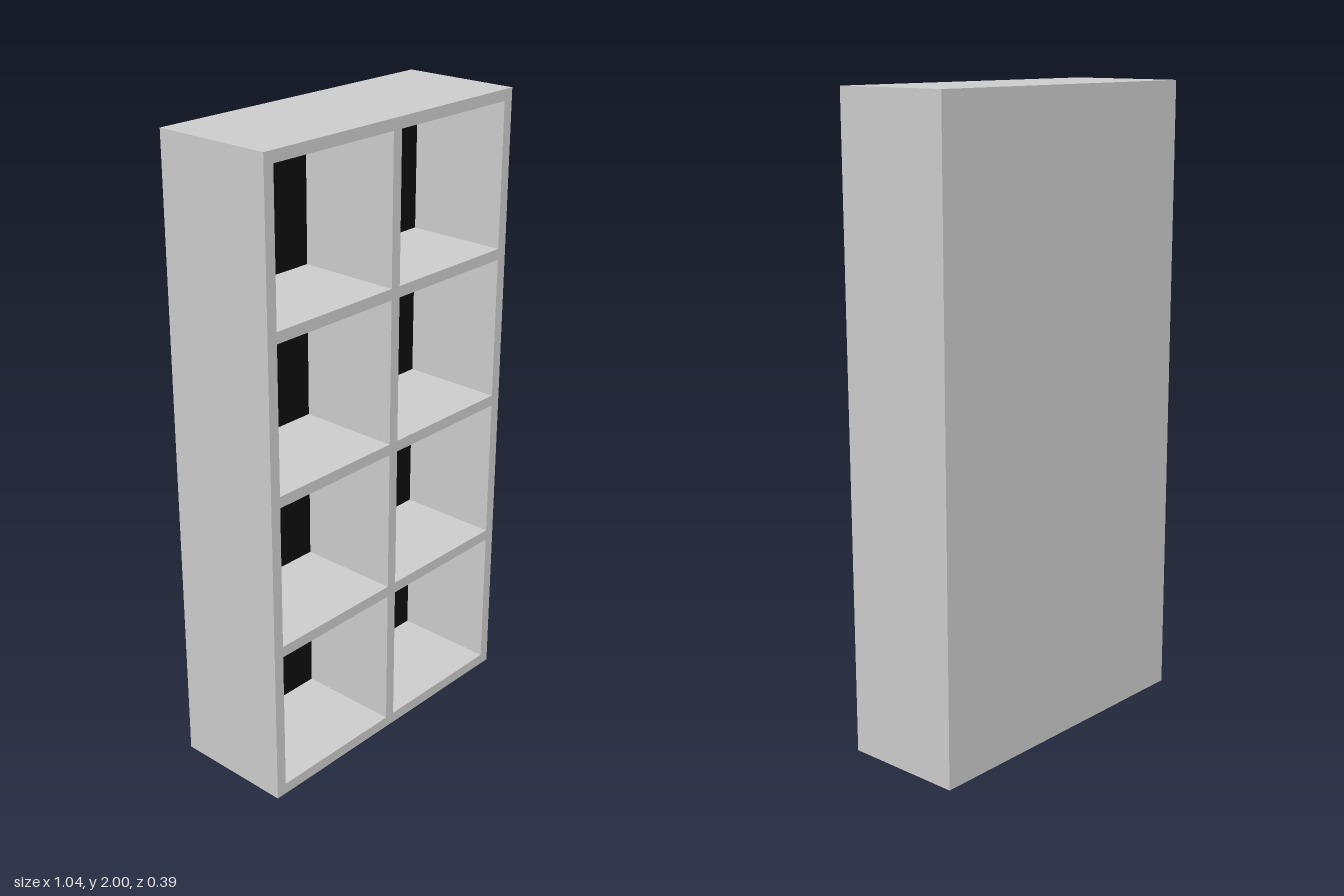
import * as THREE from 'three';

const W = 1.04, H = 2, D = 0.39; // overall size
const T = 0.035;                 // board thickness
const BACK = 0.055;              // back panel thickness
const COLS = 2, ROWS = 4;

const cellW = (W - T * (COLS + 1)) / COLS;
const cellH = (H - T * (ROWS + 1)) / ROWS;

function rectangle(target, x, y, w, h) {
  target.moveTo(x, y);
  target.lineTo(x + w, y);
  target.lineTo(x + w, y + h);
  target.lineTo(x, y + h);
  target.closePath();
  return target;
}

export function createModel() {
  const group = new THREE.Group();
  group.name = 'bookcase';
  const grey = new THREE.MeshStandardMaterial({ color: 0xcccccc });
  const dark = new THREE.MeshStandardMaterial({ color: 0x0d0d0d });

  function add(name, geometry, material, x, y, z) {
    const mesh = new THREE.Mesh(geometry, material);
    mesh.name = name;
    mesh.position.set(x, y, z);
    group.add(mesh);
  }

  // Outer case, shelves and centre divider as one board with eight openings
  const outline = rectangle(new THREE.Shape(), -W / 2, 0, W, H);
  const lining = new THREE.PlaneGeometry(cellW, cellH);
  const backZ = -D / 2 + BACK;

  for (let c = 0; c < COLS; c++) {
    for (let r = 0; r < ROWS; r++) {
      const x = -W / 2 + T + c * (cellW + T);
      const y = T + r * (cellH + T);
      outline.holes.push(rectangle(new THREE.Path(), x, y, cellW, cellH));
      // Dark back of each compartment
      add('compartmentBack', lining, dark, x + cellW / 2, y + cellH / 2, backZ + 0.001);
    }
  }
  const frame = new THREE.ExtrudeGeometry(outline, { depth: D - BACK, bevelEnabled: false });
  add('shelfFrame', frame, grey, 0, 0, backZ);

  // Closed back
  add('backPanel', new THREE.BoxGeometry(W, H, BACK), grey, 0, H / 2, -D / 2 + BACK / 2);

  return group;
}
